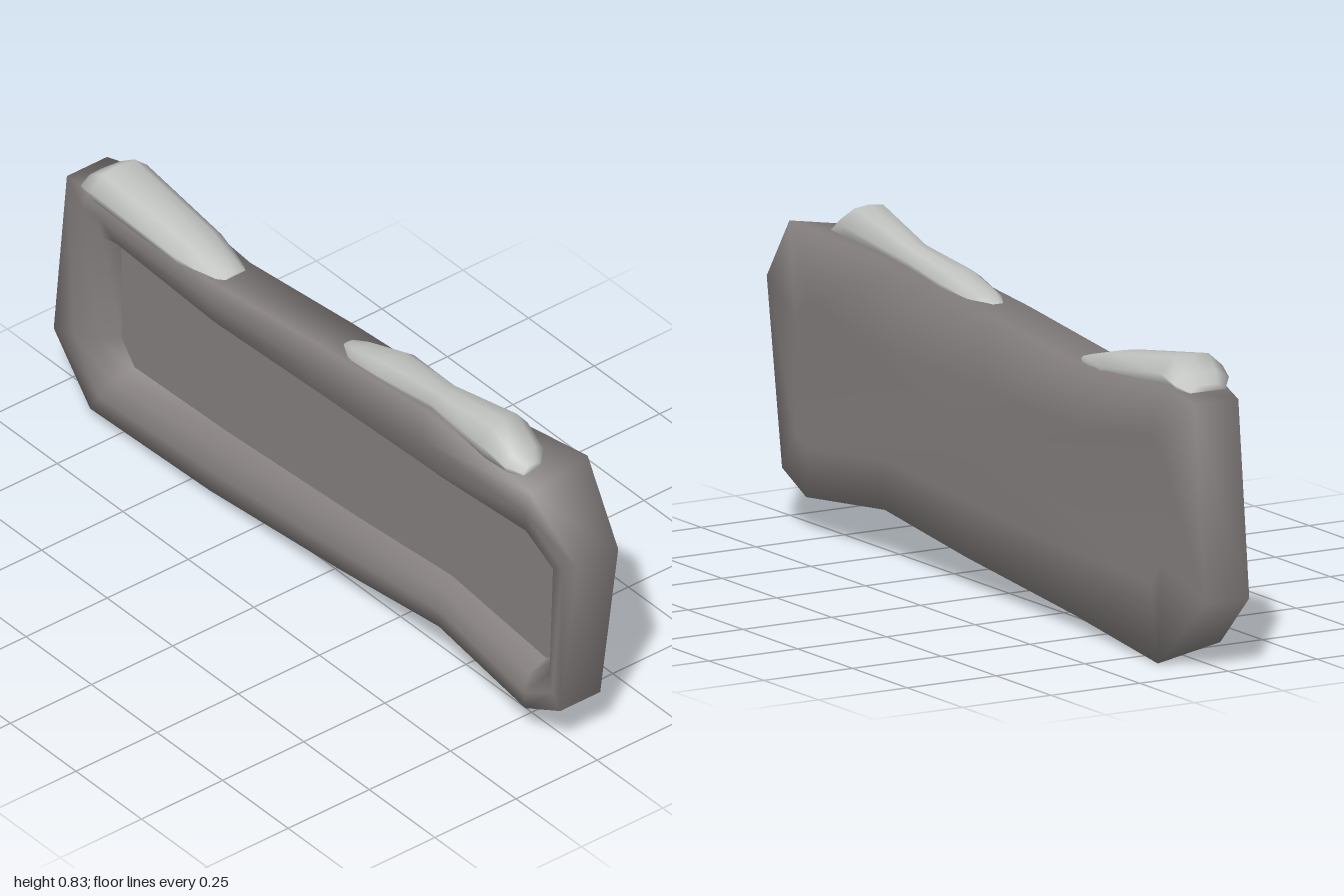
import * as THREE from 'three';

// Smooth skin over closed rings of points, with a fan closing each end.
// sharpStart gives the first end its own vertices so it stays flat.
function loft(rings, sharpStart) {
  const n = rings[0].length;
  const pos = [], idx = [];
  const add = (p) => pos.push(...p) / 3 - 1;
  const ids = rings.map((ring) => ring.map(add));
  for (let i = 0; i < rings.length - 1; i++) {
    for (let j = 0; j < n; j++) {
      const k = (j + 1) % n;
      const a = ids[i][j], b = ids[i + 1][j], c = ids[i + 1][k], d = ids[i][k];
      idx.push(a, b, d, b, c, d);
    }
  }
  const fan = (ring, id, flip) => {
    const mid = [0, 1, 2].map((c) => ring.reduce((s, p) => s + p[c], 0) / n);
    const m = add(mid);
    for (let j = 0; j < n; j++) {
      const a = id[j], b = id[(j + 1) % n];
      if (flip) idx.push(m, b, a);
      else idx.push(m, a, b);
    }
  };
  fan(rings[0], sharpStart ? rings[0].map(add) : ids[0], false);
  fan(rings[rings.length - 1], ids[ids.length - 1], true);
  const g = new THREE.BufferGeometry();
  g.setAttribute('position', new THREE.Float32BufferAttribute(pos, 3));
  g.setIndex(idx);
  g.computeVertexNormals();
  return g;
}

// Slab outline, clockwise seen from +x:
// outer z, y, left-most x, right-most x, height shift on the -x side, inner z, y
const OUTLINE = [
  [0.84, 0.77, -0.08, 0.1, -0.03, 0.8, 0.57],
  [0.4, 0.735, -0.062, 0.056, 0, 0.42, 0.52],
  [0, 0.7, -0.062, 0.06, 0, 0, 0.51],
  [-0.4, 0.655, -0.062, 0.062, 0, -0.4, 0.5],
  [-0.84, 0.68, -0.08, 0.075, 0, -0.74, 0.54],
  [-0.95, 0.655, -0.062, 0.065, 0, -0.8, 0.51],
  [-1, 0.175, -0.062, 0.065, 0, -0.8, 0.24],
  [-0.84, 0.003, -0.08, 0.1, 0.032, -0.75, 0.18],
  [-0.4, 0.035, -0.065, 0.065, 0, -0.4, 0.19],
  [0.1, 0.08, -0.062, 0.06, 0, 0.1, 0.22],
  [0.47, 0.125, -0.062, 0.06, 0, 0.46, 0.25],
  [0.82, 0.09, -0.08, 0.065, 0, 0.82, 0.21],
  [0.935, 0.14, -0.065, 0.062, 0, 0.87, 0.24],
  [1, 0.6, -0.065, 0.065, 0, 0.87, 0.52],
];

// One ring of the slab: t runs from the outer outline (0) to the inner one (1)
function slabRing(t, xOf, shift) {
  return OUTLINE.map(([z, y, xl, xr, dy, iz, iy]) => [
    xOf(xl, xr),
    THREE.MathUtils.lerp(y + dy * shift, iy, t),
    THREE.MathUtils.lerp(z, iz, t),
  ]);
}

// Draped lump: stations run towards -z as [z, centre x, half width, top y, bottom y]
function drape(stations) {
  const section = [[0.8, 0], [1, 0.5], [0.55, 0.95], [0, 1], [-0.55, 0.95], [-1, 0.5], [-0.8, 0]];
  return loft(stations.map(([z, cx, w, top, bot]) =>
    section.map(([u, v]) => [cx + u * w, bot + v * (top - bot), z])));
}

export function createModel() {
  const group = new THREE.Group();
  const slabGrey = new THREE.MeshStandardMaterial({ color: 0x868080 });
  slabGrey.name = 'warm grey';
  const paleGrey = new THREE.MeshStandardMaterial({ color: 0xc0c2c0 });
  paleGrey.name = 'pale grey';

  const addPart = (name, geometry, material) => {
    const mesh = new THREE.Mesh(geometry, material);
    mesh.name = name;
    group.add(mesh);
  };

  // Slab: recessed panel and rounded rim on -x, plain smooth face on +x
  addPart('slab', loft([
    slabRing(1, () => -0.012, 1),
    slabRing(0.8, (l) => l * 0.8, 1),
    slabRing(0.4, (l) => l, 1),
    slabRing(0, (l) => l * 0.95, 1),
    slabRing(0, (l, r) => r, 0),
    slabRing(1, () => 0.066, 0),
  ], true), slabGrey);

  // Pale lumps draped over the top edge
  addPart('frontTopLump', drape([
    [0.78, -0.02, 0.03, 0.765, 0.735],
    [0.74, -0.015, 0.06, 0.785, 0.735],
    [0.66, -0.013, 0.073, 0.83, 0.74],
    [0.42, 0, 0.046, 0.778, 0.725],
    [0.22, 0.004, 0.061, 0.755, 0.71],
    [0.1, 0, 0.045, 0.723, 0.69],
    [0.05, 0, 0.025, 0.706, 0.68],
  ]), paleGrey);
  addPart('backTopLump', drape([
    [-0.38, 0, 0.045, 0.664, 0.63],
    [-0.52, -0.003, 0.073, 0.7, 0.635],
    [-0.81, -0.013, 0.088, 0.745, 0.668],
    [-0.86, -0.01, 0.078, 0.71, 0.668],
    [-0.89, -0.01, 0.05, 0.685, 0.655],
  ]), paleGrey);

  return group;
}
